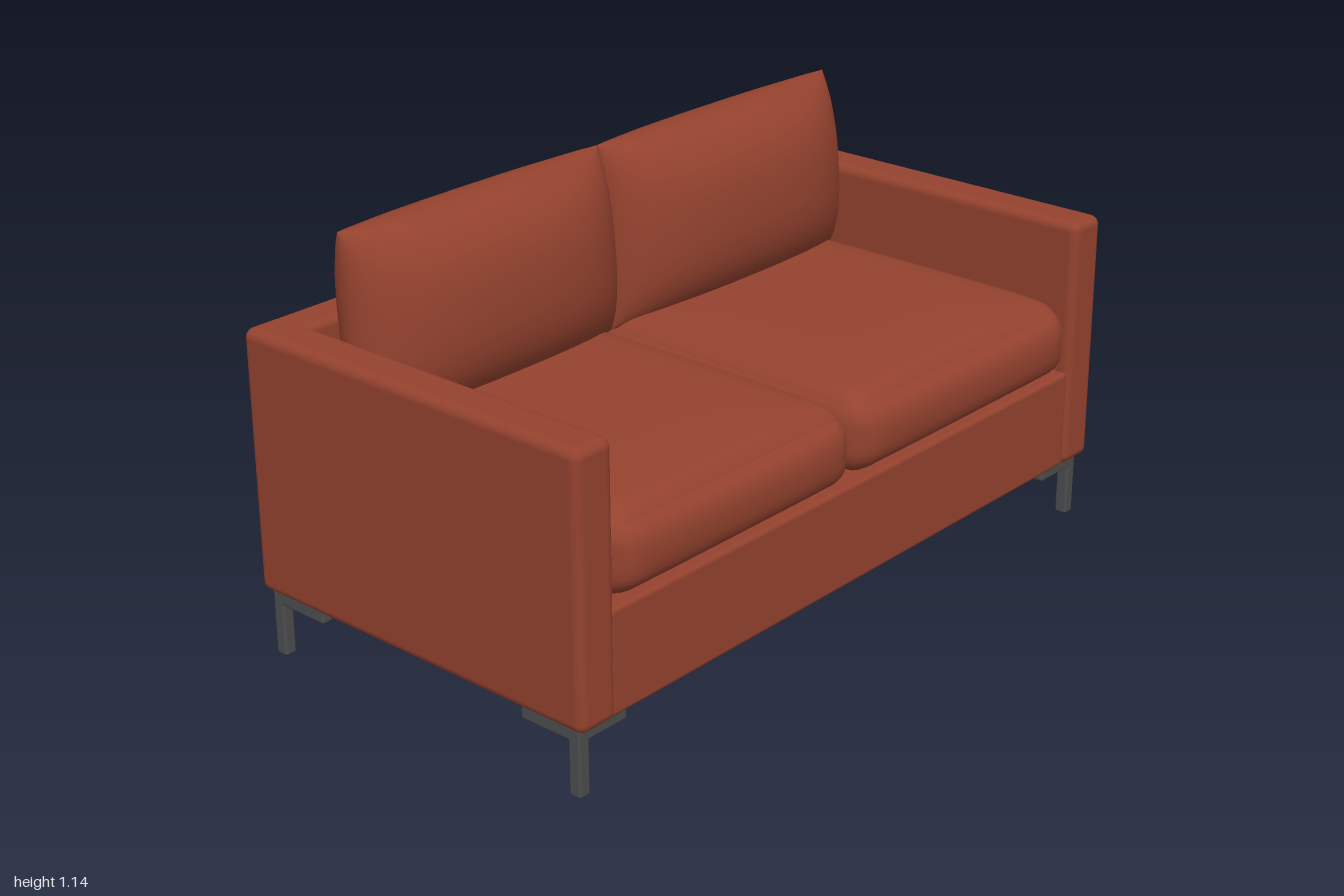
import * as THREE from 'three';
import { mergeVertices, mergeGeometries } from 'three/addons/utils/BufferGeometryUtils.js';
import { RoundedBoxGeometry } from 'three/addons/geometries/RoundedBoxGeometry.js';

// Rounded block given by its min and max on each axis
function block(name, material, [x0, x1], [y0, y1], [z0, z1], radius) {
  const geometry = new RoundedBoxGeometry(x1 - x0, y1 - y0, z1 - z0, 3, radius);
  const mesh = new THREE.Mesh(geometry, material);
  mesh.position.set((x0 + x1) / 2, (y0 + y1) / 2, (z0 + z1) / 2);
  mesh.name = name;
  return mesh;
}

// Move every vertex by a rule, then weld and smooth
function reshape(geometry, rule) {
  geometry.deleteAttribute('normal');
  geometry.deleteAttribute('uv');
  const p = geometry.attributes.position;
  const v = new THREE.Vector3();
  for (let i = 0; i < p.count; i++) {
    rule(v.fromBufferAttribute(p, i));
    p.setXYZ(i, v.x, v.y, v.z);
  }
  const welded = mergeVertices(geometry, 1e-5);
  welded.computeVertexNormals();
  return welded;
}

const ease = (t) => Math.sin((t * Math.PI) / 2); // crowds points towards the edges

// Soft block with a crowned top and a bulging front
function seatGeometry(hx, hy, hz, r) {
  const core = new THREE.Vector3(hx - r, hy - r, hz - r);
  const low = core.clone().negate();
  const inner = new THREE.Vector3();
  return reshape(new THREE.BoxGeometry(2, 2, 2, 26, 14, 26), (v) => {
    const a = ease(v.x), b = ease(v.y), c = ease(v.z);
    v.set(a * hx, b * hy, c * hz);
    inner.copy(v).clamp(low, core);
    v.sub(inner).setLength(r).add(inner);
    if (b > 0) v.y += 0.028 * b * (1 - a ** 4) * (1 - c ** 4);
    if (c > 0) v.z += 0.018 * c * (1 - b * b) * (1 - a ** 6);
  });
}

// Pillow of two domed sides meeting in a seam
function pillowGeometry(hx, hy, depth) {
  const front = new THREE.PlaneGeometry(2, 2, 28, 24);
  front.translate(0, 0, 1);
  const back = front.clone().rotateY(Math.PI);
  return reshape(mergeGeometries([front, back]), (v) => {
    const a = ease(v.x), b = ease(v.y);
    const dome = Math.sqrt(Math.max(0, (1 - Math.abs(a) ** 2.7) * (1 - Math.abs(b) ** 2.5)));
    v.set(a * hx, b * hy, Math.sign(v.z) * depth * dome);
  });
}

export function createModel() {
  const fabric = new THREE.MeshStandardMaterial({ color: 0x94422e });
  fabric.name = 'rust fabric';
  const metal = new THREE.MeshStandardMaterial({ color: 0x4c4d4e });
  metal.name = 'dark metal';

  const sofa = new THREE.Group();
  sofa.name = 'sofa';

  // Frame
  sofa.add(
    block('leftArm', fabric, [0.872, 0.988], [0.19, 0.87], [-0.55, 0.52], 0.025),
    block('rightArm', fabric, [-0.988, -0.872], [0.19, 0.87], [-0.55, 0.52], 0.025),
    block('backPanel', fabric, [-0.95, 0.95], [0.191, 0.868], [-0.549, -0.44], 0.02),
    block('seatBase', fabric, [-0.88, 0.88], [0.205, 0.45], [-0.46, 0.48], 0.01),
    block('frontRail', fabric, [-0.882, 0.882], [0.191, 0.457], [0.44, 0.511], 0.012)
  );

  // Seat cushions
  for (const [name, x0, x1] of [['rightSeatCushion', -0.872, -0.034], ['leftSeatCushion', -0.03, 0.872]]) {
    const seat = new THREE.Mesh(seatGeometry((x1 - x0) / 2, 0.103, 0.47, 0.075), fabric);
    seat.position.set((x0 + x1) / 2, 0.557, 0.05);
    seat.name = name;
    sofa.add(seat);
  }

  // Back cushions, leaning slightly
  for (const [name, x0, x1] of [['rightBackCushion', -0.873, -0.02], ['leftBackCushion', -0.018, 0.876]]) {
    const pillow = new THREE.Mesh(pillowGeometry((x1 - x0) / 2, 0.243, 0.16), fabric);
    pillow.position.set((x0 + x1) / 2, 0.883, -0.306);
    pillow.rotation.x = -0.08;
    pillow.name = name;
    sofa.add(pillow);
  }

  // Corner legs: a post with two bars under the frame
  const span = (a, b) => [Math.min(a, b), Math.max(a, b)];
  for (const sx of [-1, 1]) {
    for (const sz of [-1, 1]) {
      const leg = new THREE.Group();
      leg.name = (sz > 0 ? 'front' : 'back') + (sx > 0 ? 'LeftLeg' : 'RightLeg');
      const z = sz > 0 ? 0.493 : -0.527;
      const xs = span(sx * 0.97, sx * 0.937);
      const zs = span(z, z - sz * 0.034);
      leg.add(
        block('post', metal, xs, [0.018, 0.192], zs, 0.006),
        block('sideBar', metal, xs, [0.155, 0.194], span(z, z - sz * 0.18), 0.008),
        block('crossBar', metal, span(sx * 0.97, sx * 0.815), [0.155, 0.194], zs, 0.008)
      );
      sofa.add(leg);
    }
  }

  // The whole sofa stands at a very slight tilt
  sofa.rotation.set(0.01, 0, 0.014);
  sofa.position.set(0.005, 0, 0);

  const model = new THREE.Group();
  model.name = 'loveseat';
  model.add(sofa);
  return model;
}
